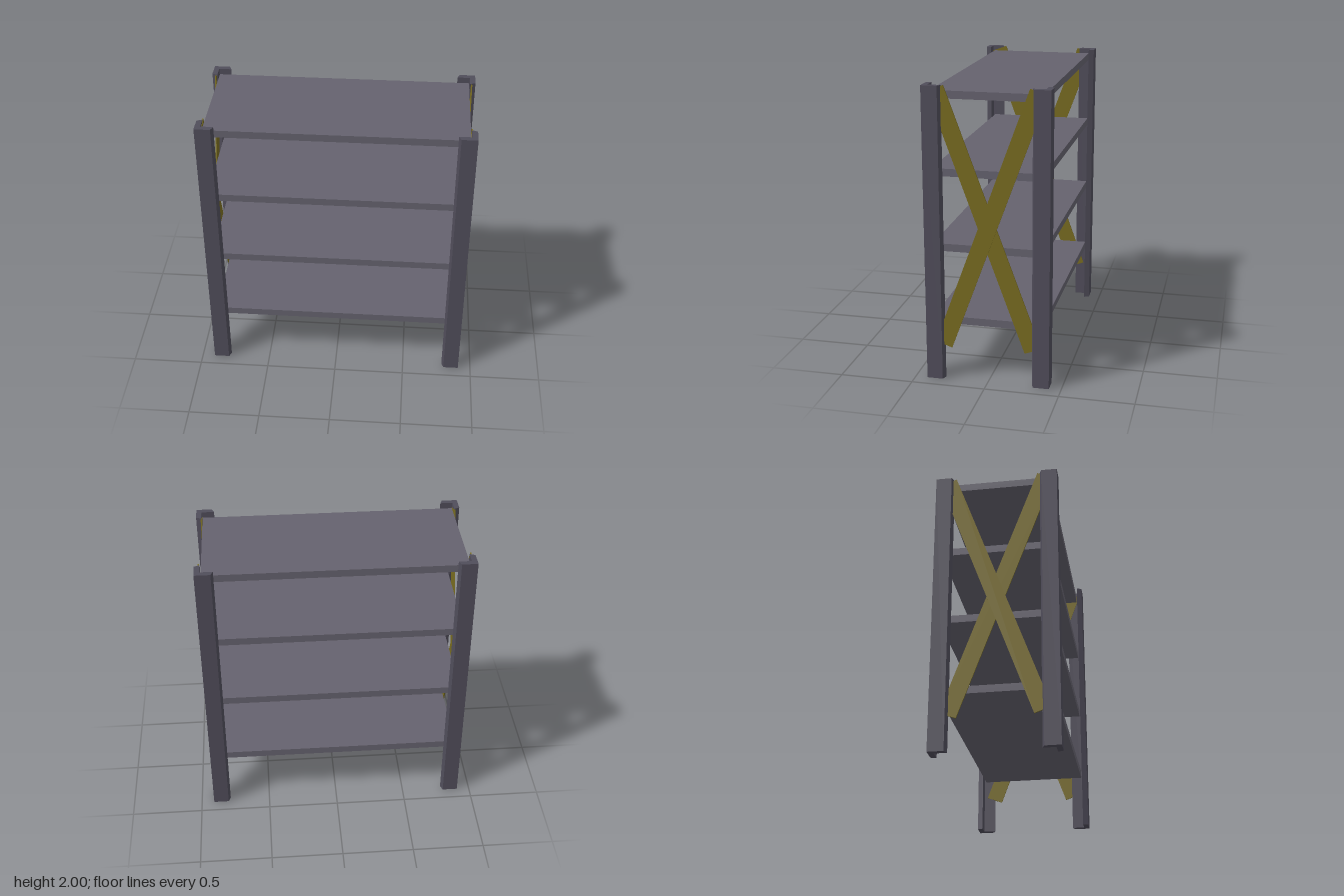
import * as THREE from 'three';

const HX = 0.91, HZ = 0.418, HEIGHT = 2;
const postMat = new THREE.MeshStandardMaterial({ color: 0x504d5a });
const shelfMat = new THREE.MeshStandardMaterial({ color: 0x65626e });
const braceMat = new THREE.MeshStandardMaterial({ color: 0x776b20 });

function box(name, size, position, material) {
  const mesh = new THREE.Mesh(new THREE.BoxGeometry(...size), material);
  mesh.name = name;
  mesh.position.set(...position);
  return mesh;
}

// L-shaped corner post with slanted arm ends; sx, sz pick the corner
function cornerPost(sx, sz) {
  const t = 0.037, outer = 0.107, inner = 0.122;
  const profile = [[0, 0], [outer, 0], [inner, t], [t, t], [t, inner], [0, outer]];
  // shape y becomes -z once the extrusion is stood upright
  const points = profile.map(([a, b]) => new THREE.Vector2(sx * (HX - a), -sz * (HZ - b)));
  const geometry = new THREE.ExtrudeGeometry(new THREE.Shape(points), { depth: HEIGHT, bevelEnabled: false });
  geometry.rotateX(-Math.PI / 2);
  const mesh = new THREE.Mesh(geometry, postMat);
  mesh.name = 'cornerPost';
  return mesh;
}

// Diagonal plank; lean +1 tips its top towards the front
function brace(x, lean) {
  const width = 0.117, below = 0.877, above = 0.972;
  const geometry = new THREE.BoxGeometry(0.009, below + above, width);
  geometry.translate(0, (above - below) / 2, 0);
  const mesh = new THREE.Mesh(geometry, braceMat);
  mesh.name = 'crossBrace';
  mesh.position.set(x, 1.068, 0);
  mesh.rotation.x = lean * Math.atan(1 / 2.72);
  return mesh;
}

export function createModel() {
  const model = new THREE.Group();
  model.name = 'shelvingUnit';

  // Four evenly spaced shelves
  for (let i = 0; i < 4; i++) {
    model.add(box('shelf', [1.738, 0.051, 0.738], [0, 0.417 + i * 0.5075, 0], shelfMat));
  }

  // Posts and crossed braces at both ends
  for (const sx of [-1, 1]) {
    for (const sz of [-1, 1]) model.add(cornerPost(sx, sz));
    const cross = new THREE.Group();
    cross.name = sx > 0 ? 'leftCross' : 'rightCross';
    cross.add(brace(sx * 0.874, 1), brace(sx * 0.883, -1));
    model.add(cross);
  }
  return model;
}
